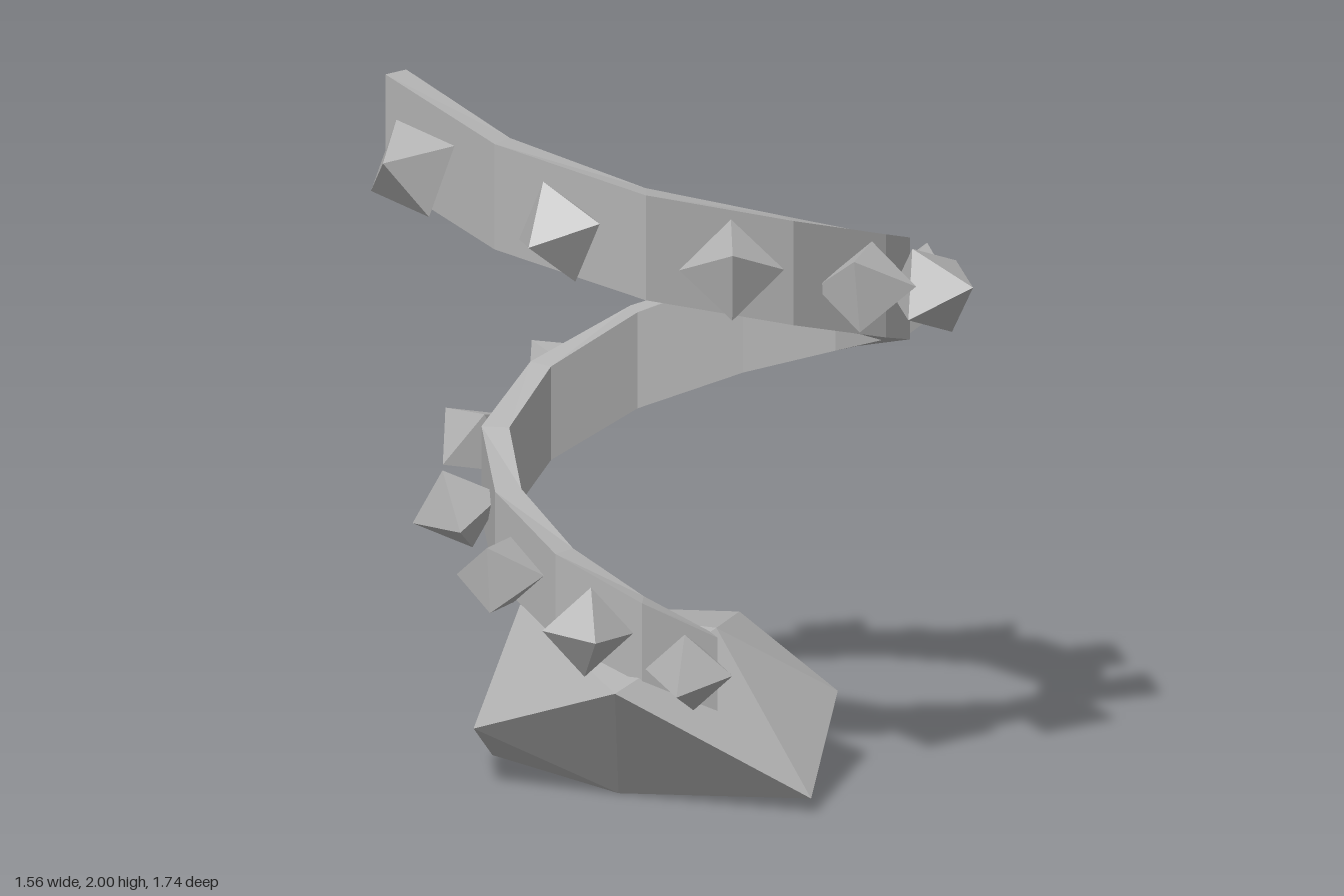
import * as THREE from 'three';
import { ConvexGeometry } from 'three/addons/geometries/ConvexGeometry.js';

const stone = new THREE.MeshStandardMaterial({ color: 0xb2b2b2, flatShading: true });
stone.name = 'grey stone';

// Outer edge of the spiral in plan (x, z), from its top end down to its foot
const PLAN = [
  [-0.52, 0.61], [-0.10, 0.70], [0.30, 0.57], [0.54, 0.23], [0.585, -0.13],
  [0.42, -0.47], [0.12, -0.65], [-0.215, -0.64], [-0.49, -0.47], [-0.61, -0.18],
  [-0.57, 0.10], [-0.39, 0.29], [-0.13, 0.38], [0.11, 0.32], [0.235, 0.15],
].map(([x, z]) => new THREE.Vector2(x, z));
const LAST = PLAN.length - 1;
const THICKNESS = 0.075;

const levelAt = (i) => 1.855 - 0.1065 * i;
const bandHeight = (i) => 0.29 - 0.08 * (i / LAST) ** 2;

// Outward plan normal of the stretch between two path points
function outward(i, j) {
  const t = PLAN[j].clone().sub(PLAN[i]).normalize();
  return new THREE.Vector2(-t.y, t.x);
}

// Band swept down the spiral with a rectangular section and capped ends
function createBand() {
  const sections = PLAN.map((p, i) => {
    const n = outward(Math.max(i - 1, 0), Math.min(i + 1, LAST));
    const inner = p.clone().addScaledVector(n, -THICKNESS);
    const y = levelAt(i), h = bandHeight(i) / 2;
    return [
      [p.x, y - h, p.y], [p.x, y + h, p.y],
      [inner.x, y + h, inner.y], [inner.x, y - h, inner.y],
    ];
  });
  const positions = [];
  const quad = (a, b, c, d) => positions.push(...a, ...b, ...c, ...a, ...c, ...d);
  for (let i = 0; i < LAST; i++) {
    const s = sections[i], t = sections[i + 1];
    for (let k = 0; k < 4; k++) {
      const m = (k + 1) % 4;
      quad(s[k], t[k], t[m], s[m]);
    }
  }
  quad(...sections[0]);
  quad(...[...sections[LAST]].reverse());
  const geometry = new THREE.BufferGeometry();
  geometry.setAttribute('position', new THREE.Float32BufferAttribute(positions, 3));
  geometry.computeVertexNormals();
  return geometry;
}

// Directions of two corners of each stud, top to bottom
const STUD_AXES = [
  [[0, 0.3, 0.95], [0.82, 0.52, -0.15]],
  [[0, -0.1, 1], [0.95, 0.3, 0.05]],
  [[0.8, 0, -0.6], [-0.3, 0.85, -0.4]],
  [[0.9, 0.07, -0.35], [0.25, 0.68, 0.68]],
  [[0.95, 0.2, 0], [-0.15, 0.9, 0.4]],
  [[0.97, 0, -0.1], [0.1, 0.85, -0.5]],
  [[0.1, 0.45, -0.88], [0.9, 0.37, 0.27]],
  [[-0.1, 0.3, -0.95], [-0.95, 0.2, 0.1]],
  [[-0.68, -0.4, -0.6], [-0.5, 0.75, 0.3]],
  [[-0.8, 0.55, 0], [0.3, 0.3, -0.8]],
  [[-0.1, 0.9, 0.4], [0.75, 0.3, -0.5]],
  [[0.1, 0.7, 0.6], [-0.9, 0, 0.3]],
  [[0.7, 0, 0.7], [0.05, 1, -0.05]],
  [[0.9, 0, -0.3], [0.1, 0.9, 0.3]],
];

// One tilted octahedral stud on the outside of each stretch of the band
function createStud(i) {
  const t = i / (LAST - 1);
  const radius = 0.143 - 0.022 * t;
  const stud = new THREE.Mesh(new THREE.OctahedronGeometry(radius), stone);
  stud.name = 'stud' + (i + 1);

  const x = new THREE.Vector3(...STUD_AXES[i][0]).normalize();
  const z = x.clone().cross(new THREE.Vector3(...STUD_AXES[i][1])).normalize();
  const y = z.clone().cross(x);
  stud.quaternion.setFromRotationMatrix(new THREE.Matrix4().makeBasis(x, y, z));

  const p = PLAN[i].clone().add(PLAN[i + 1]).multiplyScalar(0.5);
  p.addScaledVector(outward(i, i + 1), 0.098 - 0.02 * t);
  stud.position.set(p.x, levelAt(i + 0.5) - 0.015 * t, p.y);
  return stud;
}

// Corners of the faceted boulder under the spiral
const ROCK = [
  [0.11, 0.44, -0.02], [-0.43, 0.45, 0.12], [-0.10, 0.365, -0.42], [0.26, 0.215, -0.365],
  [0.465, 0.04, 0.045], [0.10, 0.355, 0.43], [-0.40, 0.17, 0.375], [-0.595, 0.275, -0.14],
  [-0.57, 0, 0.05], [-0.07, 0, 0.175], [-0.35, 0.115, -0.47], [-0.35, 0, -0.365],
];

export function createModel() {
  const model = new THREE.Group();
  model.name = 'studdedSpiral';

  const rock = new THREE.Mesh(
    new ConvexGeometry(ROCK.map((p) => new THREE.Vector3(...p))), stone);
  rock.name = 'baseRock';

  const band = new THREE.Mesh(createBand(), stone);
  band.name = 'spiralBand';

  const studs = new THREE.Group();
  studs.name = 'studs';
  for (let i = 0; i < LAST; i++) studs.add(createStud(i));

  model.add(rock, band, studs);
  return model;
}
